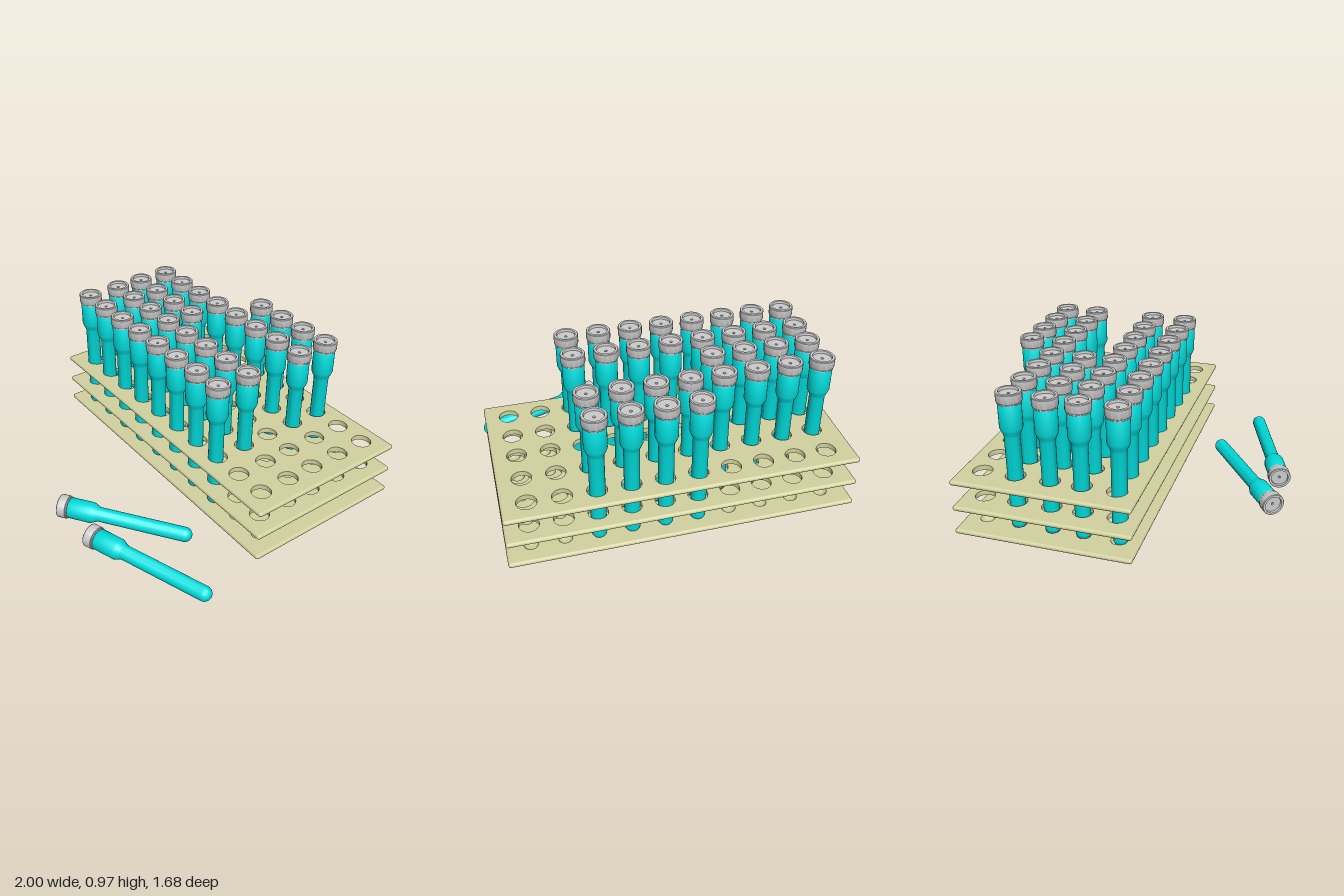
import * as THREE from 'three';
import { toCreasedNormals } from 'three/addons/utils/BufferGeometryUtils.js';

const X0 = -1, X1 = 0.985, Z0 = -0.845, Z1 = 0.175; // rack outline
const T = 0.03; // sheet thickness
const columns = Array.from({ length: 10 }, (_, i) => -0.845 + i * 0.188);
const holeRows = [-0.72, -0.525, -0.325, -0.145, 0.05];
const tubeRows = [-0.73, -0.525, -0.325, -0.145, 0.065];
const filled = [[4, 7], [0, 7], [0, 3], [0, 7], [0, 7]]; // first and last tube per row

const rackMat = new THREE.MeshStandardMaterial({ color: 0xd2d2a0 });
const tubeMat = new THREE.MeshStandardMaterial({ color: 0x00dede });
const capMat = new THREE.MeshStandardMaterial({ color: 0xcccccc });

function add(parent, name, geo, mat, x = 0, y = 0, z = 0) {
  const m = new THREE.Mesh(geo, mat);
  m.name = name;
  m.position.set(x, y, z);
  parent.add(m);
  return m;
}

const lathe = (pts, seg = 28) => toCreasedNormals(
  new THREE.LatheGeometry(pts.map(([r, y]) => new THREE.Vector2(r, y)), seg), 0.6);

// Flat sheet perforated with the grid of round holes, lying on its base
function perforated(radius, thickness) {
  const r = T / 2;
  const s = new THREE.Shape([[X0 + r, -Z1 + r], [X1 - r, -Z1 + r], [X1 - r, -Z0 - r], [X0 + r, -Z0 - r]]
    .map(([x, y]) => new THREE.Vector2(x, y)));
  for (const z of holeRows) for (const x of columns) {
    s.holes.push(new THREE.Path().absarc(x, -z, radius, 0, Math.PI * 2, true));
  }
  const g = new THREE.ExtrudeGeometry(s, { depth: thickness, bevelEnabled: false, curveSegments: 12 });
  return toCreasedNormals(g.rotateX(-Math.PI / 2), 0.7);
}

// Half-round edging around a sheet
function addRim(parent) {
  const r = T / 2, cx = (X0 + X1) / 2, cz = (Z0 + Z1) / 2;
  const long = new THREE.CapsuleGeometry(r, X1 - X0 - T, 4, 12).rotateZ(Math.PI / 2);
  const short = new THREE.CapsuleGeometry(r, Z1 - Z0 - T, 4, 12).rotateX(Math.PI / 2);
  for (const z of [Z0 + r, Z1 - r]) add(parent, 'longEdge', long, rackMat, cx, r, z);
  for (const x of [X0 + r, X1 - r]) add(parent, 'shortEdge', short, rackMat, x, r, cz);
}

// Tube with round bottom, wide neck and groove under the cap; base at y = 0
const R = 0.0435;
const bottom = Array.from({ length: 8 }, (_, i) => {
  const a = (i / 7) * Math.PI / 2;
  return [R * Math.sin(a), R - R * Math.cos(a)];
});
const tubeGeo = lathe([...bottom, [R, 0.575], [0.048, 0.588], [0.058, 0.61], [0.063, 0.625],
  [0.063, 0.757], [0.06, 0.764], [0.056, 0.764], [0.056, 0.802], [0, 0.802]]);
// Thin ring and screw cap with a sunken top and a small central opening
const ringGeo = lathe([[0.055, 0.766], [0.066, 0.766], [0.066, 0.773], [0.055, 0.773]]);
const capGeo = lathe([[0.052, 0.776], [0.068, 0.776], [0.07, 0.779], [0.07, 0.826], [0.067, 0.83],
  [0.054, 0.83], [0.052, 0.815], [0.008, 0.815], [0.008, 0.8]]);

function makeTube(name) {
  const g = new THREE.Group();
  g.name = name;
  add(g, 'tubeBody', tubeGeo, tubeMat);
  add(g, 'neckRing', ringGeo, capMat);
  add(g, 'cap', capGeo, capMat);
  return g;
}

export function createModel() {
  const model = new THREE.Group();
  model.name = 'tubeRack';

  // Two perforated upper sheets
  const upperGeo = perforated(0.056, T);
  for (const [name, y] of [['topSheet', 0.442], ['middleSheet', 0.282]]) {
    const sheet = new THREE.Group();
    sheet.name = name;
    sheet.position.y = y;
    add(sheet, 'panel', upperGeo, rackMat);
    addRim(sheet);
    model.add(sheet);
  }

  // Closed base sheet with shallow bowls
  const base = new THREE.Group();
  base.name = 'baseSheet';
  base.position.y = 0.135;
  add(base, 'basePanel', perforated(0.04, 0.023), rackMat, 0, 0.007);
  add(base, 'baseUnderside', new THREE.BoxGeometry(X1 - X0 - T, 0.007, Z1 - Z0 - T),
    rackMat, (X0 + X1) / 2, 0.0035, (Z0 + Z1) / 2);
  addRim(base);
  const bowlGeo = lathe([[0.04, 0.03], [0.036, 0.022], [0.027, 0.014], [0.014, 0.0095], [0, 0.008]], 24);
  for (const z of holeRows) for (const x of columns) add(base, 'bowl', bowlGeo, rackMat, x, 0, z);
  model.add(base);

  // Standing tubes
  tubeRows.forEach((z, row) => {
    for (let c = filled[row][0]; c <= filled[row][1]; c++) {
      const tube = makeTube('standingTube');
      tube.position.set(columns[c], 0.145, z);
      model.add(tube);
    }
  });

  // Two tubes lying on the ground: rounded tip and cap end
  const up = new THREE.Vector3(0, 1, 0);
  for (const [tx, tz, cx, cz] of [[0.567, 0.30, -0.112, 0.78], [0.995, 0.495, 0.215, 0.767]]) {
    const tube = makeTube('lyingTube');
    tube.position.set(tx, 0.07, tz);
    tube.quaternion.setFromUnitVectors(up, new THREE.Vector3(cx - tx, 0, cz - tz).normalize());
    model.add(tube);
  }
  return model;
}
